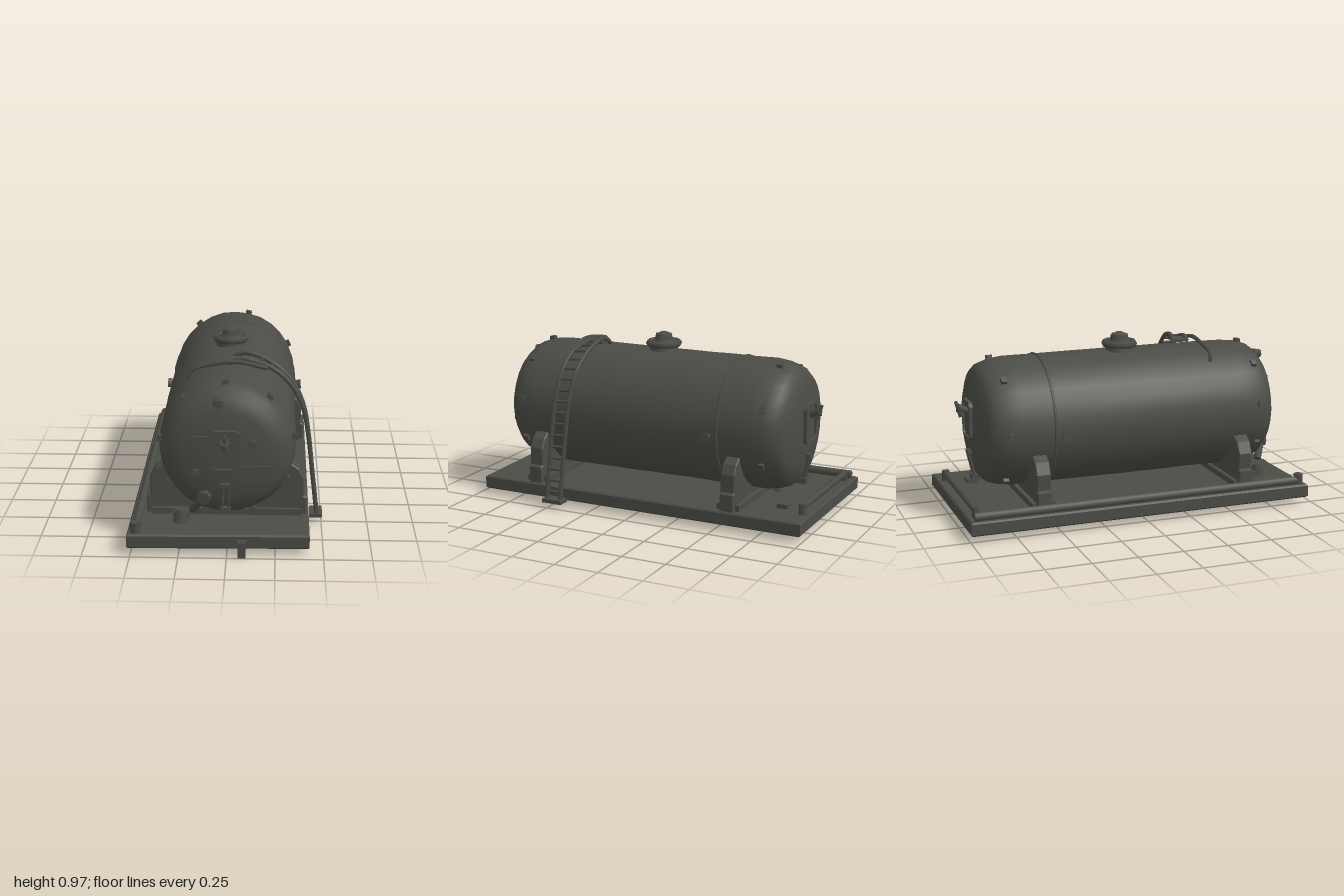
import * as THREE from 'three';

const V = (x, y, z) => new THREE.Vector3(x, y, z);

export function createModel() {
  const model = new THREE.Group();
  model.name = 'tankOnSkid';
  const darkSteel = new THREE.MeshStandardMaterial({ color: 0x4b4c46 });
  darkSteel.name = 'dark steel';

  const add = (name, geo, x = 0, y = 0, z = 0, parent = model) => {
    const m = new THREE.Mesh(geo, darkSteel);
    m.name = name;
    m.position.set(x, y, z);
    parent.add(m);
    return m;
  };
  const box = (name, w, h, d, x, y, z, parent) => add(name, new THREE.BoxGeometry(w, h, d), x, y, z, parent);
  // Straight round bar between two points
  const bar = (name, a, b, r, sides = 6, parent = model, r2 = r) => {
    const m = add(name, new THREE.CylinderGeometry(r2, r, a.distanceTo(b), sides), 0, 0, 0, parent);
    m.position.copy(a).lerp(b, 0.5);
    m.quaternion.setFromUnitVectors(V(0, 1, 0), b.clone().sub(a).normalize());
    return m;
  };
  const extrude = (shape, depth, bevel = 0) => new THREE.ExtrudeGeometry(shape, {
    depth, bevelEnabled: bevel > 0, bevelSize: bevel, bevelThickness: bevel, bevelSegments: 1, curveSegments: 8 });
  const polygon = pts => new THREE.Shape(pts.map(p => new THREE.Vector2(...p)));

  // Base slab, slightly out of square at the front
  const base = extrude(polygon([[-0.51, -0.965], [0.42, -0.945], [0.42, 0.99], [-0.51, 0.99]]), 0.06, 0.008);
  base.rotateX(-Math.PI / 2);
  add('baseSlab', base, 0, 0.043, 0);

  // Tank: a lathe with domed ends and gentle dents
  const CX = -0.005, CY = 0.512;
  const end = [[0, 0.875], [0.13, 0.87], [0.23, 0.857], [0.295, 0.835], [0.33, 0.8], [0.352, 0.74], [0.361, 0.66]];
  const profile = end.map(([r, z]) => new THREE.Vector2(r, -z));
  for (let i = -4; i <= 4; i++) profile.push(new THREE.Vector2(0.361, i * 0.13));
  end.slice().reverse().forEach(([r, z]) => profile.push(new THREE.Vector2(r, z)));
  const tank = new THREE.LatheGeometry(profile, 28);
  const p = tank.attributes.position;
  for (let i = 0; i < p.count; i++) {
    const a = Math.atan2(p.getZ(i), p.getX(i)), y = p.getY(i);
    const s = 1 + 0.007 * Math.sin(3 * a + 9 * y) * Math.cos(5 * a - 14 * y);
    p.setXYZ(i, p.getX(i) * s, y, p.getZ(i) * s);
  }
  tank.computeVertexNormals();
  tank.rotateX(Math.PI / 2);
  add('tankShell', tank, CX, CY, 0);
  add('weldBand', new THREE.TorusGeometry(0.36, 0.008, 5, 32), CX, CY, -0.48);

  // Saddles with a curved cradle and a foot
  const saddle = polygon([[-0.43, 0.11], [0.41, 0.11], [0.41, 0.2], [0.395, 0.21], [0.395, 0.31],
    [0.37, 0.36], [0.335, 0.385]]);
  saddle.absarc(CX, CY, 0.35, -0.35, Math.PI + 0.35, true);
  [[-0.34, 0.385], [-0.385, 0.36], [-0.415, 0.3], [-0.41, 0.21], [-0.43, 0.2]].forEach(q => saddle.lineTo(...q));
  [0.62, -0.57].forEach(z => {
    add('saddle', extrude(saddle, 0.07, 0.006), 0, 0, z - 0.035);
    box('saddleFoot', 0.8, 0.04, 0.13, -0.01, 0.125, z);
  });

  // Side lugs
  [-1, 1].forEach(s => {
    const lug = bar('sideLug', V(CX + s * 0.34, 0.495, -0.43), V(CX + s * 0.4, 0.497, -0.43), 0.02, 4, model, 0.032);
    lug.rotateY(Math.PI / 4);
  });

  // Top manhole with hexagonal cap
  const hatch = new THREE.Group();
  hatch.name = 'topHatch';
  hatch.position.set(-0.01, 0.86, 0.01);
  model.add(hatch);
  add('hatchNeck', new THREE.CylinderGeometry(0.075, 0.085, 0.05, 12), 0, 0.015, 0, hatch);
  const rim = add('hatchRim', new THREE.TorusGeometry(0.083, 0.02, 6, 12), 0, 0.045, 0, hatch);
  rim.rotation.x = Math.PI / 2;
  add('hatchLid', new THREE.CylinderGeometry(0.065, 0.075, 0.03, 10), 0, 0.05, 0, hatch);
  add('hatchCap', new THREE.CylinderGeometry(0.05, 0.058, 0.035, 6), 0, 0.08, 0, hatch);
  add('hatchKnob', new THREE.CylinderGeometry(0.015, 0.048, 0.015, 6), 0, 0.103, 0, hatch);

  // Fittings on one end: door, frame, hook bracket, latch handle
  const roundedRect = (w, h, r) => {
    const s = new THREE.Shape(), x = w / 2, y = h / 2;
    s.absarc(x - r, y - r, r, 0, Math.PI / 2);
    s.absarc(-x + r, y - r, r, Math.PI / 2, Math.PI);
    s.absarc(-x + r, -y + r, r, Math.PI, Math.PI * 1.5);
    s.absarc(x - r, -y + r, r, Math.PI * 1.5, Math.PI * 2);
    return s;
  };
  const endFittings = name => {
    const g = new THREE.Group();
    g.name = name;
    model.add(g);
    const frame = roundedRect(0.165, 0.22, 0.035);
    frame.holes.push(roundedRect(0.135, 0.19, 0.025));
    add('doorFrame', extrude(frame, 0.035), -0.01, 0.54, 0.855, g);
    add('door', extrude(roundedRect(0.14, 0.195, 0.025), 0.03), -0.01, 0.54, 0.85, g);
    bar('hookArm', V(-0.01, 0.585, 0.87), V(-0.01, 0.61, 0.935), 0.018, 5, g, 0.026);
    bar('hookTip', V(-0.01, 0.56, 0.91), V(-0.01, 0.645, 0.945), 0.02, 4, g, 0.008);
    [-0.026, 0.006].forEach(x => bar('latchBar', V(x, 0.21, 0.85), V(x, 0.36, 0.885), 0.009, 5, g));
    box('latchFoot', 0.055, 0.03, 0.05, -0.01, 0.21, 0.845, g);
    box('latchTop', 0.05, 0.02, 0.03, -0.01, 0.355, 0.875, g);
    return g;
  };
  endFittings('frontFittings');
  endFittings('backFittings').scale.z = -1;

  // Extra front hinge plates, bolts and outlet stub
  box('hingePlate', 0.15, 0.045, 0.03, 0.145, 0.435, 0.862);
  box('hingeDrop', 0.11, 0.05, 0.03, 0.115, 0.393, 0.86);
  box('sideTab', 0.09, 0.045, 0.025, -0.135, 0.595, 0.862);
  [[-0.165, 0.415], [-0.045, 0.79], [0.13, 0.575]].forEach(([x, y]) =>
    bar('bolt', V(x, y, 0.83), V(x, y, 0.878), 0.033, 5, model, 0.025));
  bar('outletStub', V(-0.115, 0.285, 0.82), V(-0.12, 0.28, 0.885), 0.042, 7, model, 0.036);
  bar('outletPipe', V(-0.13, 0.27, 0.855), V(-0.185, 0.19, 0.81), 0.022);

  // Small nubs around both rims
  [[0.74, 9, 0.2], [-0.73, 7, 0.45]].forEach(([z, n, off]) => {
    for (let i = 0; i < n; i++) {
      const a = off + (i / n) * Math.PI * 2;
      const nub = box('rimNub', 0.025, 0.035, 0.03, CX + Math.cos(a) * 0.357, CY + Math.sin(a) * 0.357, z);
      nub.rotation.z = a;
    }
  });

  // Ladder: two rails draped over the tank, with rungs between
  const side = [[0.24, 0.855], [0.335, 0.765], [0.395, 0.64], [0.425, 0.48], [0.448, 0.28], [0.475, 0.045]];
  const rail = (start, z0, z1) => new THREE.CatmullRomCurve3([
    ...start.map(q => V(...q)),
    ...side.map(([x, y], i) => V(x, y, z0 + (z1 - z0) * i / 5))]);
  const railA = rail([[0.0, 0.875, 0.35], [0.06, 0.915, 0.355], [0.14, 0.905, 0.36]], 0.375, 0.425);
  const railB = rail([[0.0, 0.88, 0.435], [0.06, 0.905, 0.44], [0.14, 0.89, 0.445]], 0.465, 0.51);
  [railA, railB].forEach(c => add('ladderRail', new THREE.TubeGeometry(c, 28, 0.013, 6)));
  for (let i = 0; i < 15; i++) {
    const t = 0.16 + i * 0.057;
    bar('ladderRung', railA.getPointAt(t), railB.getPointAt(t), 0.009, 5);
  }
  box('ladderFoot', 0.07, 0.022, 0.12, 0.47, 0.042, 0.465);
  box('ladderTopPlate', 0.1, 0.015, 0.085, 0.045, 0.89, 0.395);

  // Grab rail across the top beside the ladder
  const grab = new THREE.CatmullRomCurve3([V(-0.22, 0.8, 0.485), V(-0.2, 0.855, 0.485),
    V(-0.1, 0.885, 0.48), V(0.05, 0.9, 0.485), V(0.2, 0.868, 0.49)]);
  add('grabRail', new THREE.TubeGeometry(grab, 16, 0.012, 6));

  // Pipes along the left and back edges of the base
  bar('sidePipe', V(-0.475, 0.13, -0.97), V(-0.475, 0.13, 0.945), 0.024, 8);
  bar('sidePipeEnd', V(-0.475, 0.1, 0.93), V(-0.475, 0.168, 0.93), 0.027, 7);
  bar('backPipe', V(-0.42, 0.15, -0.95), V(0.27, 0.15, -0.95), 0.018, 8);
  bar('backPipeEnd', V(0.27, 0.1, -0.95), V(0.27, 0.172, -0.95), 0.022, 7);
  bar('backPipePost', V(-0.41, 0.1, -0.95), V(-0.41, 0.165, -0.95), 0.02, 7);

  // Small deck fittings and the front drain
  bar('deckValve', V(-0.25, 0.1, 0.78), V(-0.25, 0.18, 0.78), 0.045, 6, model, 0.03);
  box('deckBlock', 0.08, 0.035, 0.07, -0.25, 0.125, 0.72);
  box('deckBlock', 0.07, 0.03, 0.06, 0.2, 0.12, -0.82);
  box('drainArm', 0.045, 0.035, 0.06, 0.078, 0.07, 0.965);
  box('drainStub', 0.04, 0.085, 0.03, 0.078, 0.0425, 0.982);

  return model;
}
